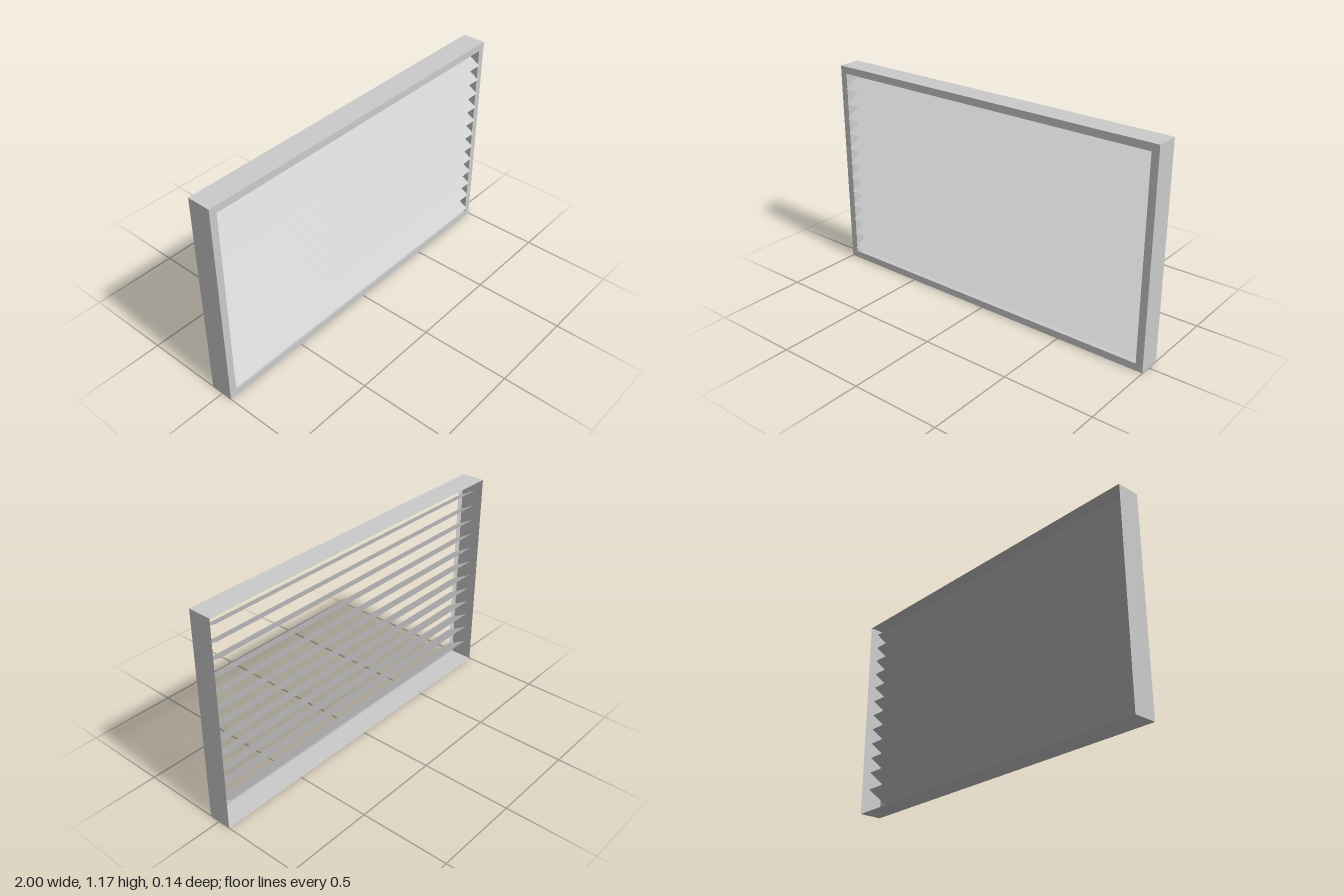
import * as THREE from 'three';

const W = 2, H = 1.175, RIM = 0.04;
const BACK = -0.07, FRONT = 0.06, DEPTH = FRONT - BACK;

export function createModel() {
  const group = new THREE.Group();
  group.name = 'louverVent';
  const mat = new THREE.MeshStandardMaterial({ color: 0xcccccc, side: THREE.DoubleSide });

  const add = (name, geometry, x, y, z) => {
    const mesh = new THREE.Mesh(geometry, mat);
    mesh.name = name;
    mesh.position.set(x, y, z);
    group.add(mesh);
  };

  // Front flange: flat sheet with a rectangular opening
  const rect = (Type, x, y0, y1) => new Type([
    new THREE.Vector2(-x, y0), new THREE.Vector2(x, y0),
    new THREE.Vector2(x, y1), new THREE.Vector2(-x, y1),
  ]);
  const flange = rect(THREE.Shape, W / 2, 0, H);
  flange.holes.push(rect(THREE.Path, W / 2 - RIM, RIM, H - RIM));
  add('frontFlange', new THREE.ShapeGeometry(flange), 0, 0, FRONT);

  // Sheet walls of the frame, open at the back
  const zMid = (FRONT + BACK) / 2;
  for (const s of [-1, 1]) {
    add(s > 0 ? 'leftWall' : 'rightWall',
      new THREE.PlaneGeometry(DEPTH, H).rotateY(s * Math.PI / 2), s * W / 2, H / 2, zMid);
    add(s > 0 ? 'topWall' : 'bottomWall',
      new THREE.PlaneGeometry(W, DEPTH).rotateX(-s * Math.PI / 2), 0, s > 0 ? H : 0, zMid);
  }

  // Thin slats sloping 30 degrees down to the front; the lowest sits a little lower
  const slat = new THREE.PlaneGeometry(W - 2 * RIM - 0.005, 0.14).rotateX(-Math.PI / 3);
  for (let i = 0; i < 12; i++) {
    const y = i < 11 ? 1.086 - i * 0.0883 : 0.102;
    add('slat' + (i + 1), slat, 0, y, 0.01);
  }
  return group;
}
